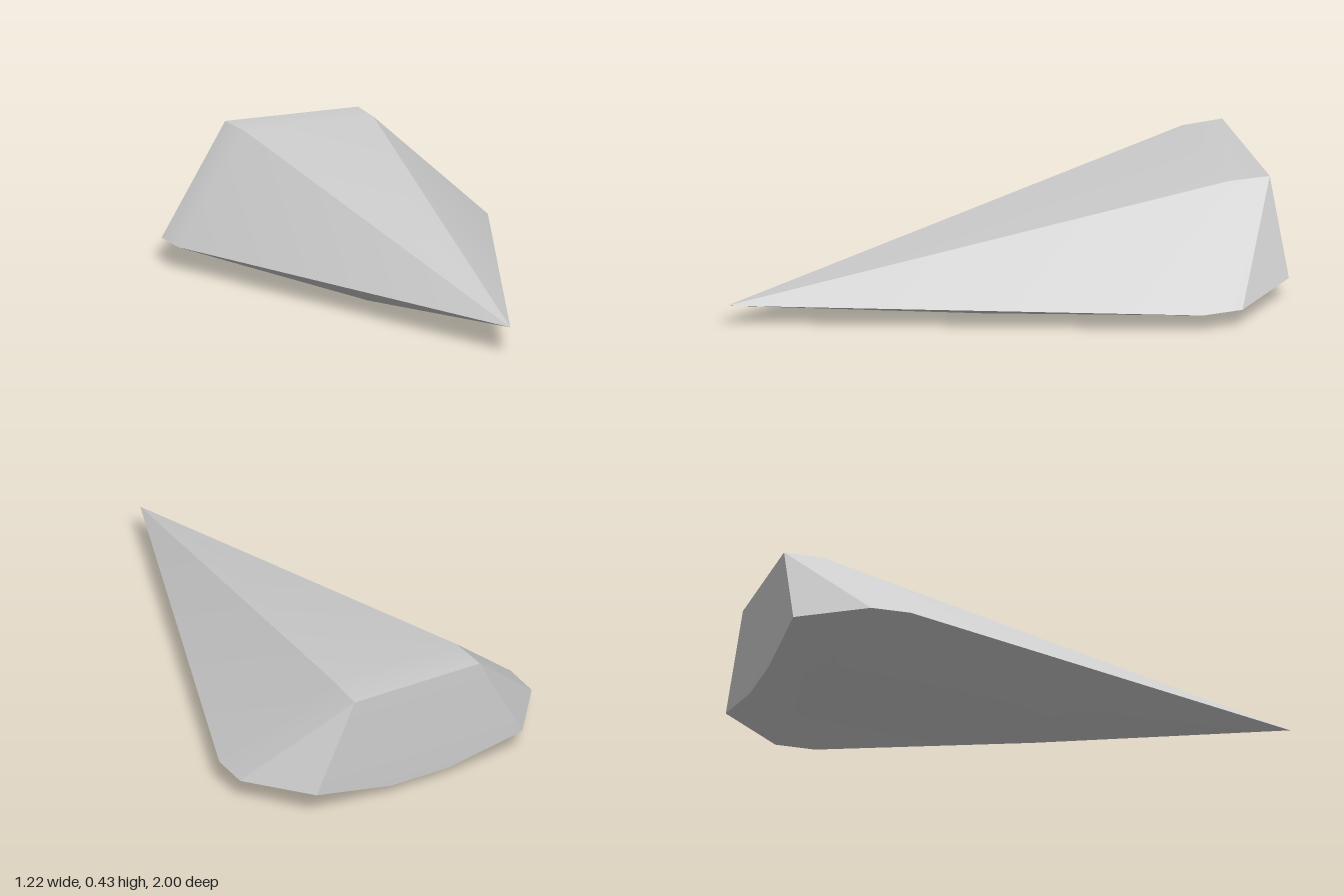
import * as THREE from 'three';
import { ConvexGeometry } from 'three/addons/geometries/ConvexGeometry.js';
import { toCreasedNormals } from 'three/addons/utils/BufferGeometryUtils.js';

export function createModel() {
  const group = new THREE.Group();
  const material = new THREE.MeshStandardMaterial({ color: 0xcccccc });

  // Points on the centre line: nose tip, upper ridge, lower keel
  const centre = [[0, 0.1, 1], [0, 0.22, 0.38], [0, 0.065, 0.75]];

  // Corners mirrored left and right
  const corners = [
    [0.61, 0.083, -0.61], [0.61, 0.083, -0.76], [0.43, 0.095, -1], // widest edge, front to stern
    [0.255, 0.43, -0.83], [0.262, 0.43, -0.985],                   // flat roof
    [0.16, 0, 0.08], [0.16, 0, -0.82], [0.12, 0.037, -1],          // flat belly and stern
  ];

  const points = centre.map((p) => new THREE.Vector3(...p));
  for (const side of [1, -1]) {
    for (const [x, y, z] of corners) points.push(new THREE.Vector3(side * x, y, z));
  }

  // Convex faceted hull, soft on shallow folds and crisp on steep ones
  const geometry = toCreasedNormals(new ConvexGeometry(points), Math.PI / 6);
  const hull = new THREE.Mesh(geometry, material);
  hull.name = 'hull';
  group.add(hull);
  return group;
}
